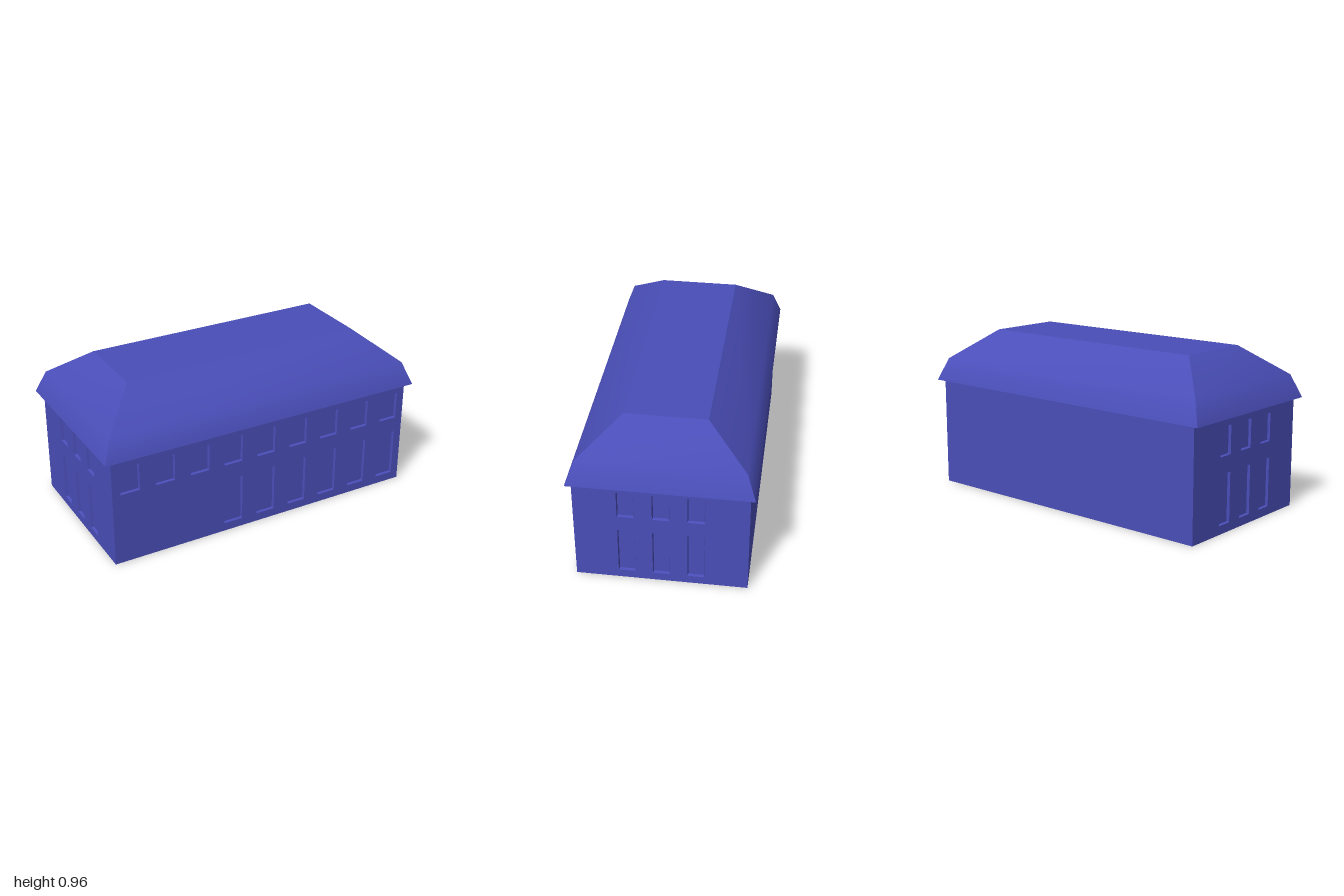
import * as THREE from 'three';

const W = 0.96, D = 0.48, EAVE = 0.65;
const material = new THREE.MeshStandardMaterial({ color: 0x4a4eb8, side: THREE.DoubleSide });
const ROWS = { upper: [0.435, 0.6], lower: [0.05, 0.338] };

function addMesh(parent, name, geometry) {
  const mesh = new THREE.Mesh(geometry, material);
  mesh.name = name;
  parent.add(mesh);
  return mesh;
}

// Shallow recess, open at the front, slightly narrower at the pane
function recessGeometry(w, h, depth = 0.015, inset = 0.004) {
  const box = new THREE.BoxGeometry(w, h, depth).translate(0, 0, -depth / 2);
  const index = [...box.index.array];
  index.splice(24, 6);
  box.setIndex(index);
  const p = box.attributes.position;
  for (let i = 0; i < p.count; i++) {
    if (p.getZ(i) < -depth / 2) {
      p.setX(i, p.getX(i) - Math.sign(p.getX(i)) * inset);
      p.setY(i, p.getY(i) - Math.sign(p.getY(i)) * inset);
    }
  }
  box.computeVertexNormals();
  return box;
}

// Flat wall, cut for its windows, with a recess in every hole
function makeWall(name, halfWidth, windows) {
  const group = new THREE.Group();
  group.name = name;
  const rect = (T, x0, x1, y0, y1) => new T([[x0, y0], [x1, y0], [x1, y1], [x0, y1]]
    .map(([x, y]) => new THREE.Vector2(x, y)));
  const shape = rect(THREE.Shape, -halfWidth, halfWidth, 0, EAVE);
  for (const { x, w, row } of windows) {
    const [y0, y1] = ROWS[row];
    shape.holes.push(rect(THREE.Path, x - w / 2, x + w / 2, y0, y1));
    addMesh(group, row + 'Window', recessGeometry(w, y1 - y0)).position.set(x, (y0 + y1) / 2, 0);
  }
  addMesh(group, name + 'Panel', new THREE.ShapeGeometry(shape));
  return group;
}

// One roof slope: smooth across the knee, sharp at the hips
function slopeGeometry(profile) {
  const points = [], index = [];
  profile.forEach(([half, y, out]) => points.push(-half, y, out, half, y, out));
  for (let i = 0; i < profile.length - 1; i++) {
    const a = i * 2;
    index.push(a, a + 1, a + 3, a, a + 3, a + 2);
  }
  const g = new THREE.BufferGeometry();
  g.setAttribute('position', new THREE.Float32BufferAttribute(points, 3));
  g.setIndex(index);
  g.computeVertexNormals();
  return g;
}

function makeRoof() {
  const roof = new THREE.Group();
  roof.name = 'roof';
  // Half width, height and half depth at eave, knee and top
  const levels = [[1, EAVE, 0.507], [0.947, 0.785, 0.457], [0.733, 0.96, 0.228]];
  for (let i = 0; i < 4; i++) {
    const profile = levels.map(([x, y, z]) => (i % 2 ? [z, y, x] : [x, y, z]));
    addMesh(roof, 'roofSlope', slopeGeometry(profile)).rotation.y = i * Math.PI / 2;
  }
  const [tx, ty, tz] = levels[2];
  addMesh(roof, 'roofTop', new THREE.PlaneGeometry(tx * 2, tz * 2).rotateX(-Math.PI / 2)).position.y = ty;
  addMesh(roof, 'ceilingAndEaves', new THREE.PlaneGeometry(2, 1.014).rotateX(Math.PI / 2)).position.y = EAVE;
  return roof;
}

export function createModel() {
  const model = new THREE.Group();
  model.name = 'house';

  // Front: nine upper windows, six tall ones below
  const frontWindows = [];
  for (let i = -4; i <= 4; i++) {
    frontWindows.push({ x: i * 0.2135, w: 0.116, row: 'upper' });
    if (i >= -1) frontWindows.push({ x: i * 0.2135, w: 0.116, row: 'lower' });
  }
  const front = makeWall('frontWall', W, frontWindows);
  front.position.z = D;

  // Plain back
  const back = makeWall('backWall', W, []);
  back.position.z = -D;
  back.rotation.y = Math.PI;
  model.add(front, back);

  // Ends: three columns of windows each
  const endWindows = [-0.192, 0, 0.192].flatMap((x) =>
    ['upper', 'lower'].map((row) => ({ x, w: 0.095, row })));
  for (const s of [1, -1]) {
    const end = makeWall(s > 0 ? 'leftWall' : 'rightWall', D, endWindows);
    end.position.x = s * W;
    end.rotation.y = s * Math.PI / 2;
    model.add(end);
  }

  // Strip of floor at one end; the rest of the base is open
  addMesh(model, 'floorStrip', new THREE.PlaneGeometry(0.23, D * 2).rotateX(Math.PI / 2))
    .position.x = W - 0.115;

  model.add(makeRoof());
  return model;
}
